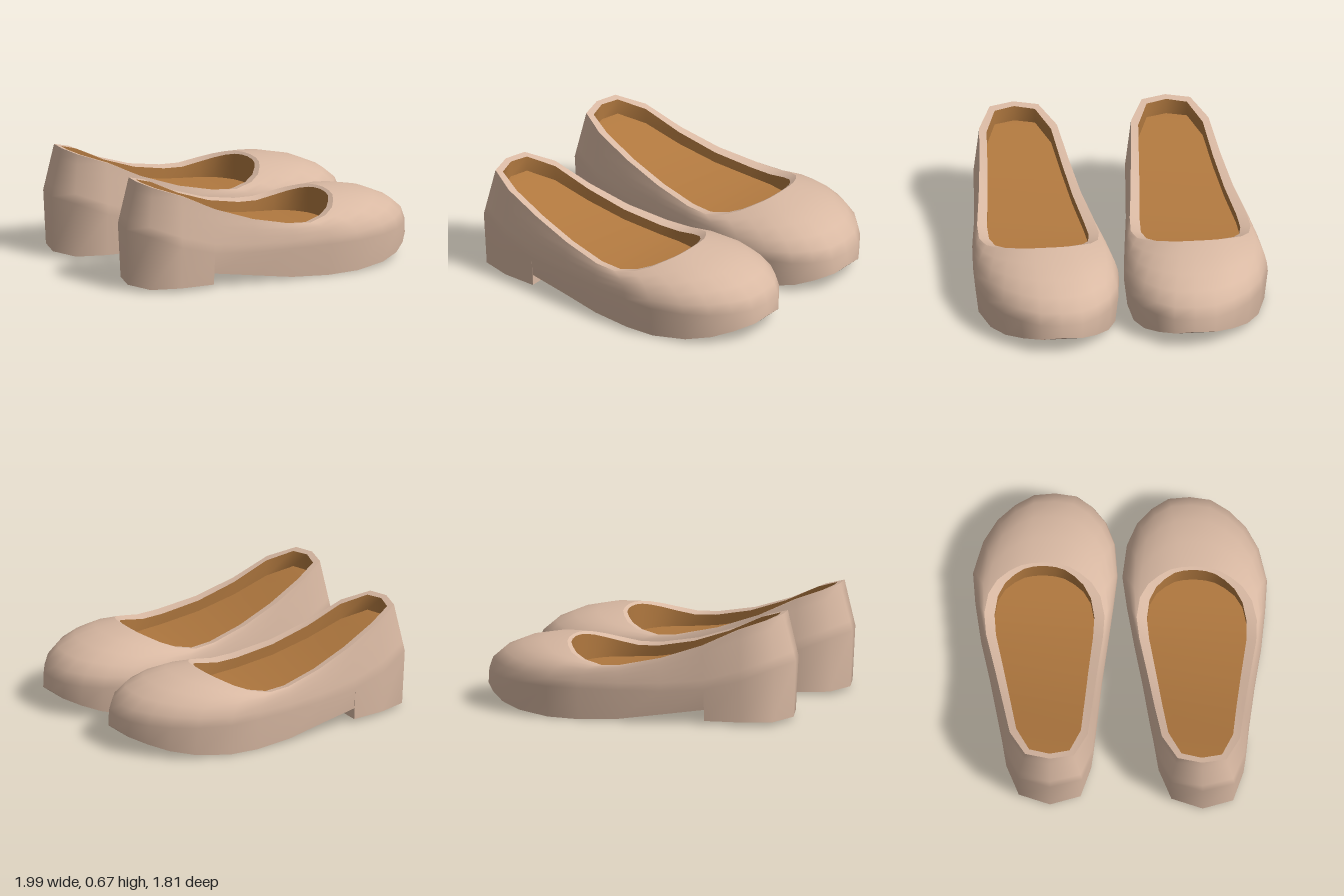
import * as THREE from 'three';
import { mergeVertices } from 'three/addons/utils/BufferGeometryUtils.js';

// Ribs from heel to toe; widths are half widths from the shoe's centre line.
// [side x, side width, side y, sole y, rim x, rim width, rim y, insole y]
const RIBS = [
  [-1.0, 0, 0.37, 0.02, -0.92, 0, 0.665, 0.55],
  [-0.94, 0.2, 0.36, 0.02, -0.89, 0.15, 0.655, 0.545],
  [-0.74, 0.275, 0.28, 0.02, -0.73, 0.24, 0.6, 0.49],
  [-0.52, 0.305, 0.22, 0.02, -0.5, 0.275, 0.492, 0.4],
  [-0.52, 0.305, 0.22, 0.09, -0.5, 0.275, 0.492, 0.4], // front of the heel block
  [-0.25, 0.345, 0.2, 0.05, -0.25, 0.315, 0.405, 0.325],
  [0.0, 0.39, 0.2, 0.015, 0.0, 0.36, 0.352, 0.275],
  [0.25, 0.425, 0.2, 0.0, 0.14, 0.37, 0.342, 0.26],
  [0.45, 0.445, 0.2, 0.005, 0.26, 0.345, 0.365, 0.255],
  [0.66, 0.405, 0.2, 0.02, 0.34, 0.29, 0.392, 0.255],
  [0.8, 0.335, 0.2, 0.045, 0.39, 0.22, 0.415, 0.255],
  [0.9, 0.24, 0.2, 0.075, 0.425, 0.15, 0.43, 0.255],
  [0.97, 0.13, 0.2, 0.105, 0.44, 0.08, 0.437, 0.255],
  [0.985, 0, 0.2, 0.12, 0.445, 0, 0.44, 0.255],
];

const { lerp, clamp } = THREE.MathUtils;

// Piecewise linear lookup in [x, value] pairs
function lookup(pairs, x) {
  let i = 0;
  while (i < pairs.length - 2 && x > pairs[i + 1][0]) i++;
  const [a, b] = [pairs[i], pairs[i + 1]];
  return lerp(a[1], b[1], clamp((x - a[0]) / (b[0] - a[0]), 0, 1));
}

// Cross-section points, each [x, y, half width]
const sole = ([x, w, , y]) => [x * (x < -0.9 ? 0.985 : x > 0.9 ? 1.008 : 1), y, w * 0.95];
const wall = (t) => ([x, w, y, , rx, rw, ry]) => {
  const round = clamp((x + 0.6) / 0.8, 0, 1); // straight at the heel, domed at the toe
  const a = (t * Math.PI) / 2;
  const inward = lerp(t, 1 - Math.cos(a), round);
  return [lerp(x, rx, inward), lerp(y, ry, lerp(t, Math.sin(a), round)), lerp(w, rw, inward)];
};
const rimInner = ([, , , , x, w, y]) => [x * 0.96, y - 0.012, w * 0.83];
const insole = ([, , , , x, w, , y]) => [x * 0.96, y, w * 0.83];

// Surface through rows of points
function surface(name, rows, closed, material) {
  const n = rows[0].length;
  const index = [];
  for (let r = 0; r < rows.length - 1; r++) {
    for (let j = 0; j < (closed ? n : n - 1); j++) {
      const k = (j + 1) % n;
      const a = r * n + j, b = r * n + k, c = b + n, d = a + n;
      index.push(a, b, c, a, c, d);
    }
  }
  let geometry = new THREE.BufferGeometry();
  geometry.setAttribute('position', new THREE.Float32BufferAttribute(rows.flat(2), 3));
  geometry.setIndex(index);
  geometry = mergeVertices(geometry, 1e-4);
  geometry.computeVertexNormals();
  const mesh = new THREE.Mesh(geometry, material);
  mesh.name = name;
  return mesh;
}

function createShoe(name, centreLine, leather, soleLeather, lining) {
  const side = (section, s) => RIBS.map((rib) => {
    const [x, y, w] = section(rib);
    return [x, y, lookup(centreLine, x) + s * w];
  });
  // Closed loop: heel to toe on one side, back on the other
  const loop = (section) => [...side(section, 1), ...side(section, -1).slice(1, -1).reverse()];

  const shoe = new THREE.Group();
  shoe.name = name;
  const walls = [0, 0.2, 0.4, 0.6, 0.8, 1].map((t) => loop(wall(t)));
  shoe.add(
    surface('upper', [loop(sole), ...walls], true, leather),
    surface('collar', [loop(wall(1)), loop(rimInner)], true, leather),
    surface('lining', [loop(rimInner), loop(insole)], true, lining),
    surface('insole', [side(insole, 1), side(insole, -1)], false, lining),
    surface('soleAndHeel', [side(sole, -1), side(sole, 1)], false, soleLeather),
  );
  return shoe;
}

export function createModel() {
  const leather = new THREE.MeshStandardMaterial({ color: 0xd9b9a3, side: THREE.DoubleSide });
  const soleLeather = new THREE.MeshStandardMaterial({ color: 0xd9b9a3, side: THREE.DoubleSide, flatShading: true });
  const lining = new THREE.MeshStandardMaterial({ color: 0xb0783f, side: THREE.DoubleSide });

  const model = new THREE.Group();
  model.name = 'pairOfShoes';
  // Each shoe bends a little differently along its centre line [x, z]
  model.add(
    createShoe('frontShoe', [[-1, 0.55], [-0.5, 0.515], [0, 0.49], [0.5, 0.455], [1, 0.41]], leather, soleLeather, lining),
    createShoe('rearShoe', [[-1, -0.39], [-0.5, -0.42], [0, -0.453], [0.4, -0.465], [0.75, -0.435], [1, -0.41]], leather, soleLeather, lining),
  );
  return model;
}
